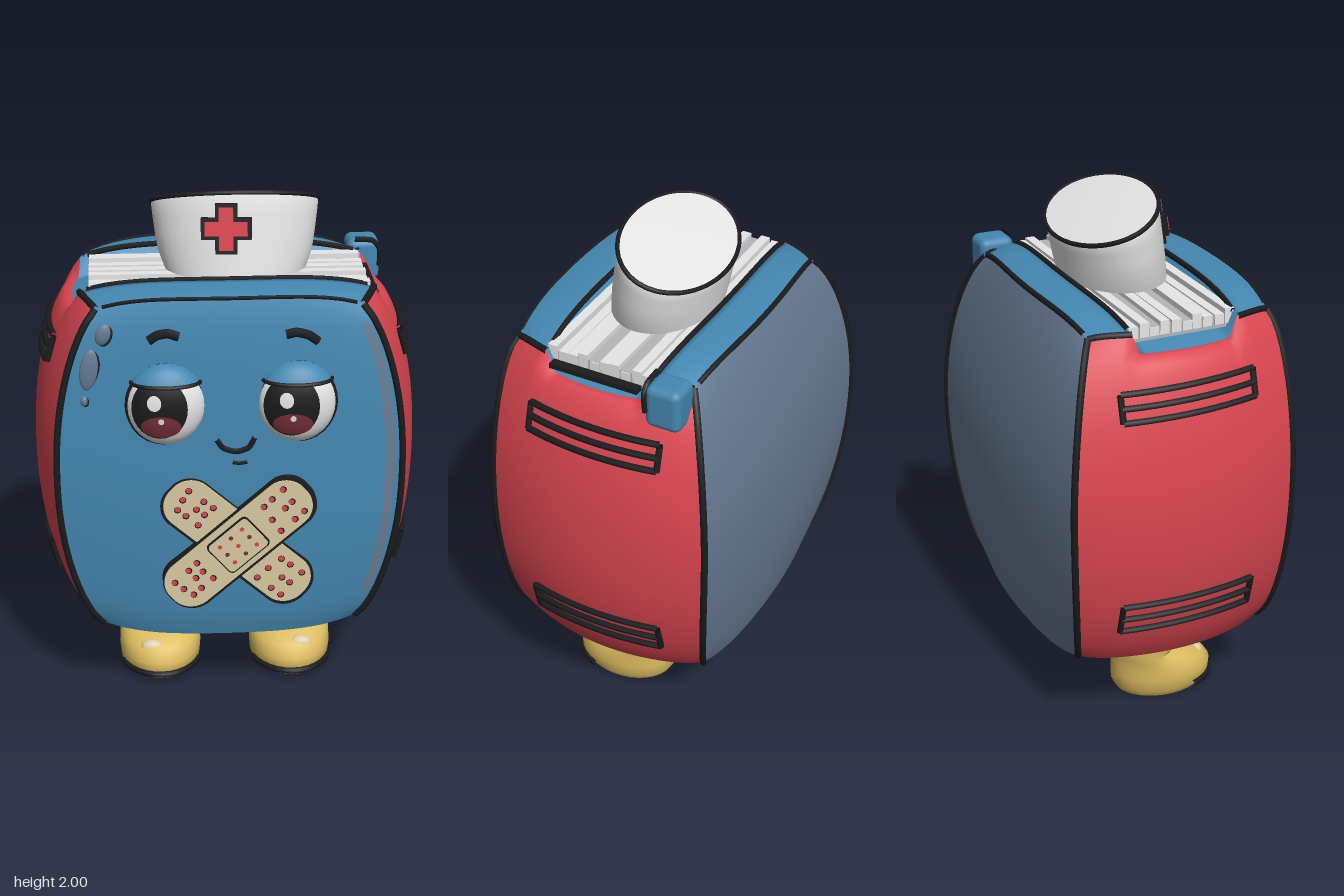
import * as THREE from 'three';
import { toCreasedNormals } from 'three/addons/utils/BufferGeometryUtils.js';
import { RoundedBoxGeometry } from 'three/addons/geometries/RoundedBoxGeometry.js';

const V = (x, y, z) => new THREE.Vector3(x, y, z);
const paint = (name, color) => {
  const m = new THREE.MeshStandardMaterial({ color });
  m.name = name;
  return m;
};

// Bulged body surface: u, v, w run from -1 to 1 across x, y, z
function surf(u, v, w) {
  const av = Math.abs(v), u2 = u * u, v2 = v * v;
  const x = u * (0.74 - 0.16 * av ** 2.2 - 0.09 * w * w);
  const z = w > 0
    ? w * (0.46 - 0.04 * u2 - 0.03 * v2 - 0.015 * av ** 10)
    : w * (0.515 - 0.04 * u2 - (v > 0 ? 0.13 : 0.08) * v2);
  const round = Math.sign(v) * (0.045 * u2 * u2 + 0.015 * w ** 8) * av ** 6;
  const dip = v > 0 && w > -0.58 && w < 0.55 ? 0.075 * v ** 10 : 0;
  return V(x, 0.985 + 0.705 * v - round - dip, z);
}
const frontZ = (x, y) => surf(x / 0.62, (y - 0.985) / 0.705, 1).z;
const sideX = (y, z) => surf(1, (y - 0.985) / 0.705, z / 0.46).x;

// Closed solid through stacked rings; ring(a) gives a point at angle a
function loft(rings, n = 32) {
  const pos = [], idx = [];
  rings.forEach(r => {
    for (let i = 0; i < n; i++) pos.push(...r((i / n) * Math.PI * 2).toArray());
  });
  const last = rings.length - 1;
  [rings[0], rings[last]].forEach(r => {
    pos.push(...r(0).add(r(Math.PI)).multiplyScalar(0.5).toArray());
  });
  const c0 = rings.length * n, c1 = c0 + 1;
  for (let i = 0; i < n; i++) {
    const k = (i + 1) % n;
    for (let j = 0; j < last; j++) {
      const a = j * n + i, b = j * n + k;
      idx.push(a, a + n, b, b, a + n, b + n);
    }
    idx.push(c0, i, k, c1, last * n + k, last * n + i);
  }
  const g = new THREE.BufferGeometry();
  g.setAttribute('position', new THREE.Float32BufferAttribute(pos, 3));
  g.setIndex(idx);
  return toCreasedNormals(g, 0.8);
}

function roundedStrip(w, h, r, depth) {
  const s = new THREE.Shape(), x = w / 2, y = h / 2;
  s.absarc(x - r, y - r, r, 0, Math.PI / 2);
  s.absarc(-x + r, y - r, r, Math.PI / 2, Math.PI);
  s.absarc(-x + r, -y + r, r, Math.PI, Math.PI * 1.5);
  s.absarc(x - r, -y + r, r, Math.PI * 1.5, Math.PI * 2);
  return new THREE.ExtrudeGeometry(s, { depth, bevelEnabled: false, curveSegments: 8 });
}

export function createModel() {
  const root = new THREE.Group();
  root.name = 'toasterNurse';
  const blue = paint('blue shell', 0x4488b2), red = paint('red sides', 0xdb4650);
  const slate = paint('slate back', 0x687c94), yellow = paint('yellow boots', 0xdcbc5f);
  const white = paint('white', 0xeaeaea), black = paint('black line', 0x1b1c1e);
  const maroon = paint('maroon iris', 0x7a303a), tan = paint('tan bandage', 0xdacaa2);
  const grey = paint('page shade', 0xb4b6ba);

  const add = (name, geo, mat, x = 0, y = 0, z = 0, parent = root) => {
    const m = new THREE.Mesh(geo, mat);
    m.name = name;
    m.position.set(x, y, z);
    parent.add(m);
    return m;
  };
  const line = (name, pts, r, mat = black, closed = false) => add(name,
    new THREE.TubeGeometry(new THREE.CatmullRomCurve3(pts, closed, 'catmullrom', 0.3), pts.length * 4, r, 6, closed), mat);
  const sample = (n, f) => Array.from({ length: n + 1 }, (_, i) => f(i / n));
  const blob = (name, mat, x, y, z, rx, ry, rz, rot = 0) => {
    const m = add(name, new THREE.SphereGeometry(1, 24, 16), mat, x, y, z);
    m.scale.set(rx, ry, rz);
    m.rotation.z = rot;
    return m;
  };

  // Body shell, one material per side
  const box = new THREE.BoxGeometry(2, 2, 2, 24, 24, 24);
  const bp = box.attributes.position;
  for (let i = 0; i < bp.count; i++) bp.setXYZ(i, ...surf(bp.getX(i), bp.getY(i), bp.getZ(i)).toArray());
  box.computeVertexNormals();
  add('body', box, [red, red, blue, slate, blue, slate]);

  // Thin painted patches following the shell
  const patch = (name, mat, w, h, f) => {
    const g = new THREE.PlaneGeometry(w, h, 16, 16), p = g.attributes.position;
    for (let i = 0; i < p.count; i++) p.setXYZ(i, ...f(p.getX(i), p.getY(i)).toArray());
    g.computeVertexNormals();
    add(name, g, mat);
  };
  for (const s of [-1, 1]) patch('bottomBand', blue, 2, 0.2, (a, b) => surf(a, -1.01, b + 0.9 * s));
  patch('edgeSheen', slate, 0.06, 1.6, (a, b) => surf(a + 0.93, b + 0.05, 1.012));

  // Ink lines along the shell edges
  for (const s of [-1, 1]) for (const w of [-1, 1])
    line('edgeLine', sample(20, t => surf(s, 2 * t - 1, w)), 0.014);
  for (const w of [-1, -0.5834, 0.5834, 1])
    line('topLine', sample(16, t => surf(1.9 * t - 0.95, 1, w)), w === 1 ? 0.007 : 0.011);
  for (const s of [-1, 1])
    for (const w of [0.5834, -0.5834])
      line('cornerLine', sample(5, t => surf(s, 1, w + t * (Math.sign(w) - w))), 0.013);

  // Page block in the slot
  add('pageBase', new THREE.BoxGeometry(1.04, 0.05, 0.44), grey, 0.01, 1.62, 0.015);
  for (let i = 0; i < 10; i++) {
    const h = 0.045 + 0.012 * Math.sin(i * 2.3);
    const m = add('page', new THREE.BoxGeometry(1.05, h, 0.037), white, 0.01, 1.61 + h / 2, -0.18 + i * 0.043);
    m.rotation.y = 0.006 * Math.sin(i * 1.7);
  }
  add('slotShadow', new THREE.BoxGeometry(0.035, 0.02, 0.36), black, 0.555, 1.602, 0.02);

  // Catch at the end of the rear lip
  add('rearCatch', new RoundedBoxGeometry(0.13, 0.17, 0.14, 4, 0.03), blue, 0.568, 1.6, -0.288);
  line('catchLine', [V(0.53, 1.69, -0.22), V(0.6, 1.685, -0.22), V(0.63, 1.65, -0.22), V(0.632, 1.58, -0.225)], 0.011);

  // Vents on both sides
  for (const s of [-1, 1])
    for (const [y, h] of [[1.422, 0.05], [0.568, 0.058]]) {
      const rail = dy => sample(8, t => {
        const z = 0.235 - 0.525 * t, yy = y + dy + 0.008 - 0.016 * t;
        return V(s * (sideX(yy, z) + 0.006), yy, z);
      });
      const top = rail(h), low = rail(-h);
      [top, rail(0), low, [top[0], low[0]], [top[8], low[8]]].forEach(p => line('vent', p, 0.013));
    }

  // Eyes, both looking the same way
  for (const cx of [-0.24, 0.245]) {
    const cy = 1.275, cz = 0.44, ax = 0.145, ay = 0.155, az = 0.075;
    const eyeZ = (x, y) => az * Math.sqrt(Math.max(0, 1 - (x / ax) ** 2 - (y / ay) ** 2));
    const disc = (name, mat, dx, dy, rx, ry, off) => {
      const g = new THREE.RingGeometry(0, 1, 28, 6), p = g.attributes.position;
      for (let i = 0; i < p.count; i++) {
        const x = dx + p.getX(i) * rx, y = dy + p.getY(i) * ry;
        p.setXYZ(i, x, y, eyeZ(x, y) + off);
      }
      g.computeVertexNormals();
      add(name, g, mat, cx, cy, cz);
    };
    blob('eyeOutline', black, cx, cy, cz, 0.152, 0.165, 0.035);
    blob('eyeball', white, cx, cy, cz, ax, ay, az);
    disc('iris', black, -0.025, 0.005, 0.103, 0.118, 0.003);
    disc('irisGlow', maroon, -0.02, -0.062, 0.074, 0.045, 0.006);
    disc('eyeShine', white, -0.045, 0.035, 0.026, 0.03, 0.007);
    disc('eyeShineSmall', white, -0.02, -0.035, 0.011, 0.012, 0.009);
    const lid = add('eyelid', new THREE.SphereGeometry(1.06, 28, 8, 0, Math.PI * 2, 0, Math.acos(0.58)), blue, cx, cy, cz);
    lid.scale.set(ax, ay, az + 0.008);
    line('lidLine', sample(10, t => {
      const a = Math.PI * t;
      return V(cx - 0.128 * Math.cos(a), cy + 0.093, cz + 0.072 * Math.sin(a));
    }), 0.008);
  }

  // Brows and mouth
  const stroke = (name, pts, r) => line(name, pts.map(([x, y]) => V(x, y, frontZ(x, y) + 0.002)), r);
  stroke('leftBrow', [[0.2, 1.54], [0.24, 1.547], [0.285, 1.535], [0.32, 1.51]], 0.018);
  stroke('rightBrow', [[-0.3, 1.525], [-0.27, 1.545], [-0.23, 1.552], [-0.19, 1.54]], 0.018);
  stroke('mouth', [[-0.055, 1.14], [-0.03, 1.105], [0.02, 1.09], [0.065, 1.105], [0.088, 1.145]], 0.011);
  stroke('chinLine', [[0.005, 1.046], [0.03, 1.042], [0.06, 1.046]], 0.007);

  // Sweat drops
  for (const [x, y, rx, ry, rot] of [[-0.465, 1.545, 0.028, 0.042, -0.3], [-0.52, 1.41, 0.034, 0.08, -0.15], [-0.54, 1.29, 0.014, 0.02, 0]]) {
    blob('dropOutline', black, x + 0.006, y - 0.004, frontZ(x, y), rx, ry, 0.006, rot);
    blob('drop', slate, x, y, frontZ(x, y), rx, ry, 0.014, rot);
  }

  // Crossed bandage
  [[-0.72, 0.435, 0.035], [0.72, 0.435, 0.057]].forEach(([angle, z, depth], k) => {
    const g = new THREE.Group();
    g.name = 'bandageStrip';
    g.position.set(0.025, 0.718, z);
    g.rotation.z = angle;
    root.add(g);
    add('stripOutline', roundedStrip(0.69, 0.218, 0.095, depth - 0.008), black, 0.004, -0.004, 0, g);
    add('strip', roundedStrip(0.67, 0.2, 0.09, depth), tan, 0, 0, 0, g);
    for (let i = 0; i < 18; i++) {
      const side = i % 2 ? 1 : -1, q = i >> 1;
      const x = side * (0.165 + 0.055 * (q % 3)) + 0.01 * Math.sin(i * 5), y = 0.052 * (Math.floor(q / 3) - 1) + 0.012 * Math.cos(i * 3);
      add('dotOutline', new THREE.CircleGeometry(0.014, 8), black, x + 0.002, y - 0.002, depth + 0.002, g);
      add('dot', new THREE.CircleGeometry(0.011, 8), red, x, y, depth + 0.004, g);
    }
    if (k) {
      add('padOutline', roundedStrip(0.2, 0.156, 0.02, 0.006), black, 0, 0, depth, g);
      add('pad', roundedStrip(0.188, 0.144, 0.016, 0.01), tan, 0, 0, depth, g);
      for (let i = 0; i < 9; i++)
        add('padDot', new THREE.CircleGeometry(0.009, 8), i % 2 ? maroon : red, 0.055 * (i % 3 - 1), 0.043 * (Math.floor(i / 3) - 1), depth + 0.012, g);
    }
  });

  // Boots
  const bootRings = [[0, 0.06, 0.14, 0.185], [0.03, 0.063, 0.16, 0.205], [0.08, 0.064, 0.165, 0.207], [0.125, 0.05, 0.163, 0.188],
    [0.16, 0.015, 0.155, 0.152], [0.185, -0.02, 0.15, 0.118], [0.22, 0, 0.154, 0.138], [0.34, 0.035, 0.168, 0.172]];
  for (const s of [-1, 1]) {
    const ring = ([y, cz, rx, rz]) => a => V(s * 0.265 + rx * Math.cos(a), y, cz + rz * Math.sin(a));
    add('boot', loft(bootRings.map(ring)), yellow);
    const sole = ring(bootRings[1]);
    line('soleLine', sample(12, t => sole(Math.PI * (0.12 + 0.76 * t))), 0.014);
    const shine = blob('bootShine', tan, s * 0.3, 0.125, 0.205, 0.045, 0.03, 0.022);
    shine.rotation.x = -0.5;
  }

  // Cap with slanted crown
  const hatRing = (t, k = 1) => a => {
    const x = 0.045 + k * (0.272 + 0.048 * Math.sqrt(t)) * Math.cos(a);
    const z = -0.008 - 0.042 * t + k * (0.197 - 0.012 * t) * Math.sin(a);
    return V(x, 1.665 + t * (0.25 + 0.43 * (z + 0.05)) + (1 - k) * 0.015, z);
  };
  add('cap', loft([hatRing(0), hatRing(0.25), hatRing(0.5), hatRing(0.75), hatRing(0.96), hatRing(1, 0.985), hatRing(1, 0.6)], 40), white);
  line('capRim', sample(31, t => hatRing(0.985)(t * Math.PI * 2 * 31 / 32)), 0.009, black, true);

  // Cross badge
  const badge = new THREE.Group();
  badge.name = 'crossBadge';
  badge.position.set(0, 1.86, 0.162);
  badge.rotation.set(-0.16, -0.12, 0);
  root.add(badge);
  for (const [long, wide, depth, mat] of [[0.188, 0.082, 0.03, black], [0.16, 0.054, 0.044, red]])
    for (const turn of [0, Math.PI / 2])
      add('crossBar', new THREE.BoxGeometry(long, wide, depth), mat, 0, 0, 0, badge).rotation.z = turn;

  return root;
}
